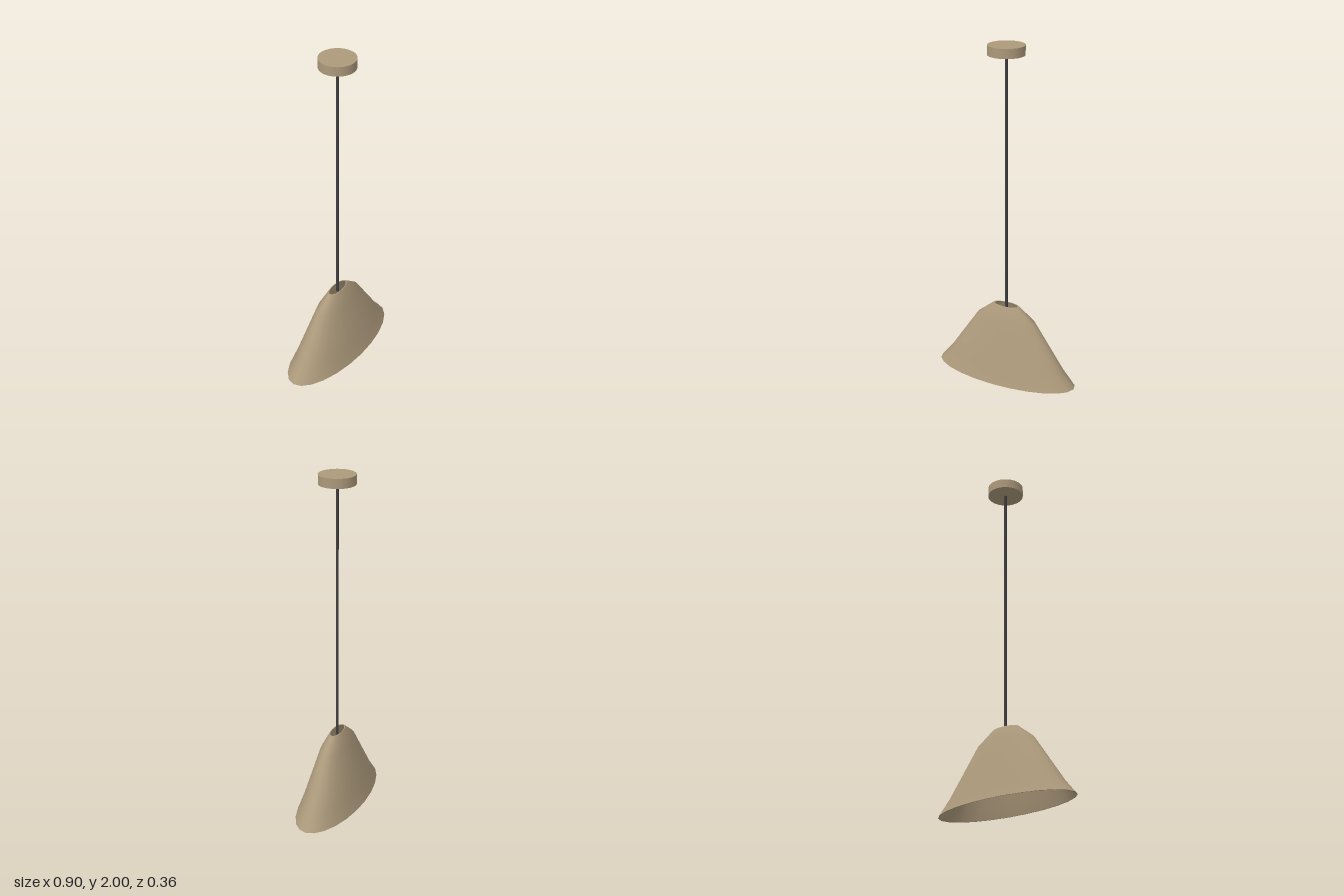
import * as THREE from 'three';

export function createModel() {
  const lamp = new THREE.Group();
  lamp.name = 'pendantLamp';

  const tan = new THREE.MeshStandardMaterial({ color: 0xac997b });
  tan.name = 'warmTan';
  const dark = new THREE.MeshStandardMaterial({ color: 0x3f3f41 });
  dark.name = 'darkGrey';

  const add = (name, geometry, material, parent = lamp) => {
    const mesh = new THREE.Mesh(geometry, material);
    mesh.name = name;
    parent.add(mesh);
    return mesh;
  };

  // Ceiling canopy
  add('canopy', new THREE.CylinderGeometry(0.105, 0.105, 0.055, 32), tan).position.y = 1.9725;

  // Cord, ending just inside the shade opening
  add('cord', new THREE.CylinderGeometry(0.008, 0.008, 1.535, 12), dark).position.y = 1.1875;

  // Oval shade: thin wall, open at both ends, flattened front to back
  const shade = new THREE.Group();
  shade.name = 'shade';
  lamp.add(shade);
  const wall = 0.01;
  const outer = [[0.452, 0], [0.38, 0.085], [0.19, 0.362], [0.085, 0.445]]
    .map(([r, y]) => new THREE.Vector2(r, y));
  const inner = outer.map((p) => new THREE.Vector2(p.x - wall, p.y)).reverse();
  const ring = (name, points) =>
    add(name, new THREE.LatheGeometry(points, 24).scale(1, 1, 0.4), tan, shade);
  ring('shadeOuter', outer);
  ring('shadeTopEdge', [outer[3], inner[0]]);
  ring('shadeInner', inner);
  ring('shadeBottomEdge', [inner[3], outer[0]]);

  return lamp;
}
